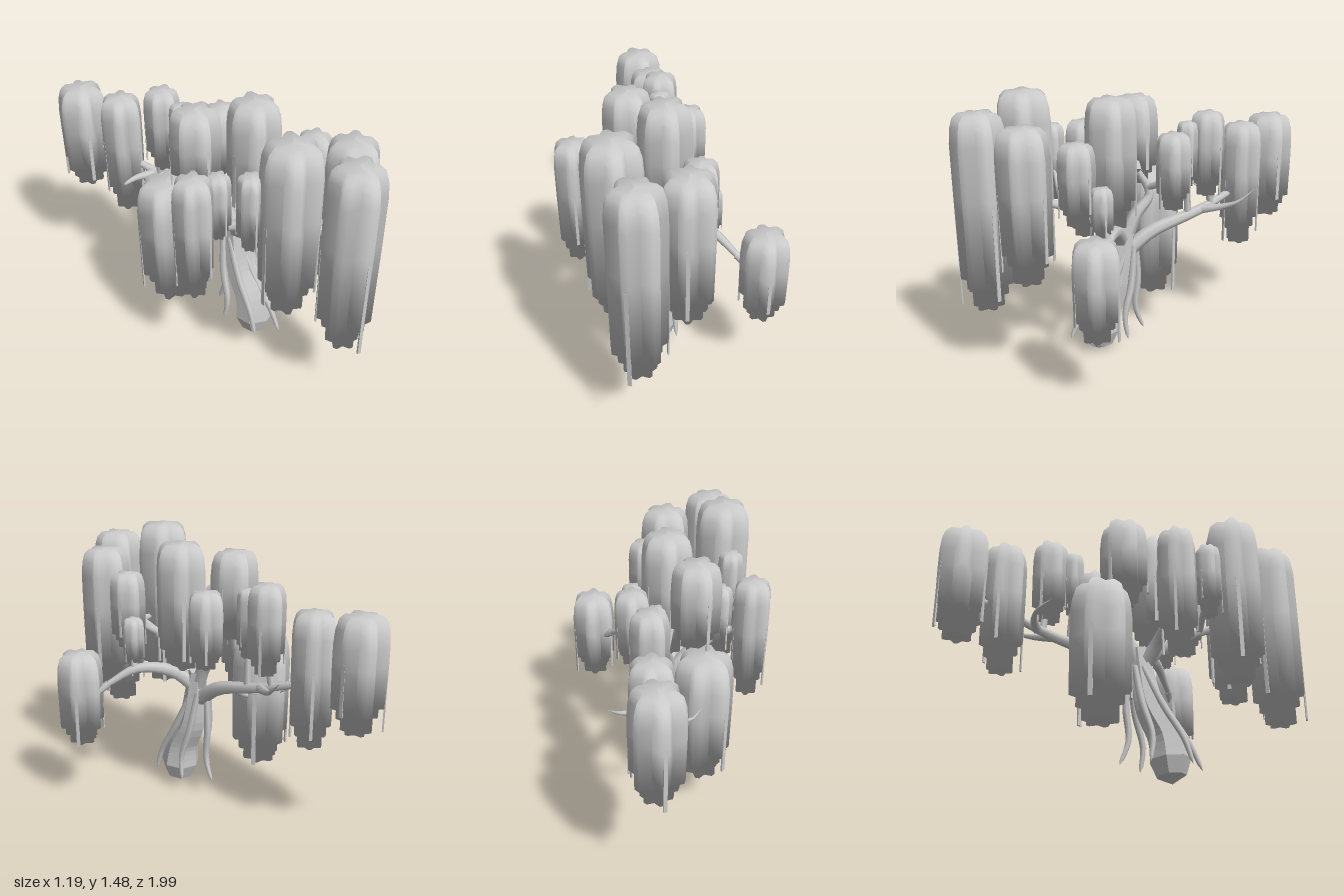
import * as THREE from 'three';

const smooth = new THREE.MeshStandardMaterial({ color: 0xcccccc });
const faceted = new THREE.MeshStandardMaterial({ color: 0xcccccc, flatShading: true });

const path = (...points) => new THREE.CatmullRomCurve3(points.map((p) => new THREE.Vector3(...p)));

// Tube whose radius is a function of the fraction along its curve
function taperedTube(curve, radius, sides = 7, segments = 12) {
  const geo = new THREE.TubeGeometry(curve, segments, 1, sides);
  const pos = geo.attributes.position;
  const v = new THREE.Vector3();
  for (let i = 0; i < pos.count; i++) {
    const t = Math.floor(i / (sides + 1)) / segments;
    const centre = curve.getPointAt(t);
    v.fromBufferAttribute(pos, i).sub(centre).multiplyScalar(radius(t)).add(centre);
    pos.setXYZ(i, v.x, v.y, v.z);
  }
  return geo;
}

// Three-sided prism with blunt corners, stacked from top to bottom.
// Profile rows hold [radius, y, upward tilt of the soft normal].
function bluntPrism(profile) {
  const angles = [0, 1, 2].flatMap((k) => [-0.12, 0.12].map((turn) => (k * Math.PI * 2) / 3 + turn));
  const n = angles.length, verts = [], normals = [], index = [];
  for (const [r, y, tilt] of profile) {
    for (const a of angles) {
      verts.push(r * Math.cos(a), y, r * Math.sin(a));
      normals.push(...new THREE.Vector3(Math.cos(a), tilt, Math.sin(a)).normalize().toArray());
    }
  }
  for (let i = 0; i < profile.length - 1; i++) {
    for (let j = 0; j < n; j++) {
      const a = i * n + j, b = i * n + ((j + 1) % n);
      if (profile[i][0] > 0) index.push(a, b, a + n);
      if (profile[i + 1][0] > 0) index.push(b, b + n, a + n);
    }
  }
  const geo = new THREE.BufferGeometry();
  geo.setAttribute('position', new THREE.Float32BufferAttribute(verts, 3));
  geo.setAttribute('normal', new THREE.Float32BufferAttribute(normals, 3));
  geo.setIndex(index);
  return geo;
}

function addMesh(parent, geo, name, material = smooth) {
  const mesh = new THREE.Mesh(geo, material);
  mesh.name = name;
  parent.add(mesh);
  return mesh;
}

// Hanging clump of foliage: two crossed domed prisms stepping inward at the hem
function foliageClump([x, z, r, top, bottom], i) {
  const clump = new THREE.Group();
  clump.name = 'foliageClump';
  const h = top - bottom;
  const skirt = Math.min(0.16, h * 0.23);
  for (const k of [0, 1]) {
    const peak = top - k * 0.004;
    const hem = bottom + skirt * (1 - k * 0.2);
    const step = bottom + skirt * (0.62 - k * 0.2);
    const leaf = addMesh(clump, bluntPrism([
      [0, peak, 8], [r * 0.68, peak - r * 0.03, 2.5], [r * 0.85, peak - r * 0.2, 1.3],
      [r * 0.95, peak - r * 0.55, 0.5], [r, peak - r * 1.1, 0.15], [r, top - h * 0.42, 0],
      [r * 0.97, hem, -1.3], [r * 0.76, hem, -1.6], [r * 0.76, step, -1.6],
      [r * 0.58, step, -1.6], [r * 0.58, bottom, -1.6], [0, bottom, -8],
    ]), 'leafCrown');
    leaf.rotation.y = k * Math.PI;
  }
  // Thin strands hang from alternate tips
  for (let k = 0; k < 3; k++) {
    const a = (k * Math.PI * 2) / 3;
    const drop = skirt * (0.2 + 0.35 * ((k + i) % 3));
    const length = h * 0.4 + drop;
    const strand = addMesh(clump, new THREE.BoxGeometry(r * 0.06, length, r * 0.14), 'strand');
    strand.position.set(Math.cos(a) * r * 0.97, bottom + skirt - drop + length / 2, Math.sin(a) * r * 0.97);
    strand.rotation.y = -a;
  }
  clump.position.set(x, 0, z);
  clump.rotation.y = ((i * 7) % 10) * 0.105;
  return clump;
}

export function createModel() {
  const tree = new THREE.Group();
  tree.name = 'weepingTree';

  // Leaning trunk, closed and rounded at the foot
  const trunk = path([-0.085, 0.005, 0.265], [-0.085, 0.25, 0.235], [-0.085, 0.42, 0.15], [-0.08, 0.74, 0.1]);
  const trunkRadius = (t) => (t === 0 ? 0 : 0.122 - 0.072 * t - 0.06 * Math.max(0, 1 - t * 6));
  addMesh(tree, taperedTube(trunk, trunkRadius, 7, 18), 'trunk', faceted);

  // Roots fan out around the foot and merge into the trunk
  for (let i = 0; i < 6; i++) {
    const a = (i / 6) * Math.PI * 2 + Math.PI / 2;
    const side = Math.cos(a) * 0.125;
    const out = Math.sin(a) * (Math.sin(a) > 0 ? 0.17 : 0.27);
    const root = path(
      [-0.085 + side, 0.085, 0.26 + out],
      [-0.085 + side * 0.9, 0.22, 0.24 + out * 0.75],
      [-0.085 + side * 0.7, 0.4, 0.16 + out * 0.5],
      [-0.085 + side * 0.4, 0.62, 0.09 + out * 0.2],
    );
    addMesh(tree, taperedTube(root, (t) => (t === 0 ? 0 : 0.01 + 0.01 * Math.sin(t * 2.6)), 6, 16), 'root');
  }

  // Main limbs
  const limbs = {
    backLimb: path([-0.085, 0.58, 0.08], [-0.08, 0.67, -0.05], [-0.09, 0.76, -0.36], [-0.16, 0.85, -0.65]),
    upperLimb: path([-0.08, 0.65, 0.1], [-0.08, 0.78, 0.04], [-0.09, 0.89, -0.05], [-0.11, 1.02, 0.01]),
    frontLimb: path([-0.08, 0.62, 0.1], [-0.08, 0.74, 0.2], [-0.085, 0.87, 0.42], [-0.09, 0.94, 0.62]),
    leftLimb: path([-0.08, 0.64, 0.12], [0.03, 0.74, 0.19], [0.2, 0.77, 0.29], [0.33, 0.69, 0.38]),
    rightLimb: path([-0.08, 0.64, 0.12], [-0.18, 0.77, 0.19], [-0.32, 0.86, 0.21], [-0.41, 0.93, 0.2]),
  };
  for (const [name, curve] of Object.entries(limbs)) {
    addMesh(tree, taperedTube(curve, (t) => 0.045 - 0.028 * t), name);
  }

  // Bare spurs at the back
  const spurs = [
    path([-0.09, 0.76, -0.36], [-0.02, 0.785, -0.47], [0.03, 0.82, -0.54], [0.06, 0.89, -0.62]),
    path([-0.12, 0.78, -0.46], [-0.22, 0.79, -0.49], [-0.32, 0.8, -0.48], [-0.36, 0.84, -0.42]),
  ];
  for (const spur of spurs) addMesh(tree, taperedTube(spur, (t) => 0.027 - 0.026 * t), 'bareSpur');

  // Foliage clumps: x, z, radius, top, bottom
  const backClumps = [
    [-0.24, -0.87, 0.135, 1.235, 0.635], [-0.16, -0.645, 0.115, 1.22, 0.51],
    [-0.09, -0.395, 0.098, 1.32, 0.85], [-0.085, -0.27, 0.058, 1.275, 0.91],
    [0.07, -0.12, 0.095, 1.26, 0.85], [-0.32, -0.16, 0.16, 0.97, 0.225],
    [-0.24, -0.02, 0.13, 1.41, 0.93],
  ];
  const middleClumps = [
    [-0.04, 0.19, 0.138, 1.45, 0.75], [-0.5, 0.195, 0.103, 1.235, 0.545],
    [-0.33, 0.205, 0.067, 1.17, 0.8], [0.19, 0.325, 0.06, 1.05, 0.78],
    [0.465, 0.455, 0.125, 0.885, 0.37],
  ];
  const frontClumps = [
    [0.135, 0.435, 0.097, 1.275, 0.85], [-0.345, 0.42, 0.068, 1.27, 0.85],
    [-0.265, 0.59, 0.15, 1.48, 0.53], [0.085, 0.69, 0.138, 1.367, 0.565],
    [-0.14, 0.86, 0.142, 1.41, 0.36],
  ];

  // Each clump hangs on a twig from the closest limb, favouring joints level with it in z
  const joints = Object.values(limbs).flatMap((curve) => curve.getSpacedPoints(20).slice(5));
  [...backClumps, ...middleClumps, ...frontClumps].forEach((spec, i) => {
    tree.add(foliageClump(spec, i));
    const end = new THREE.Vector3(spec[0], (spec[3] + spec[4]) / 2, spec[1]);
    const gap = (p) => Math.hypot(p.x - end.x, p.y - end.y, 2 * (p.z - end.z));
    const start = joints.reduce((a, b) => (gap(b) < gap(a) ? b : a));
    const bend = start.clone().lerp(end, 0.5);
    bend.y -= 0.02;
    const twig = new THREE.CatmullRomCurve3([start, bend, end]);
    addMesh(tree, taperedTube(twig, (t) => 0.022 - 0.012 * t, 6, 8), 'twig');
  });
  return tree;
}
